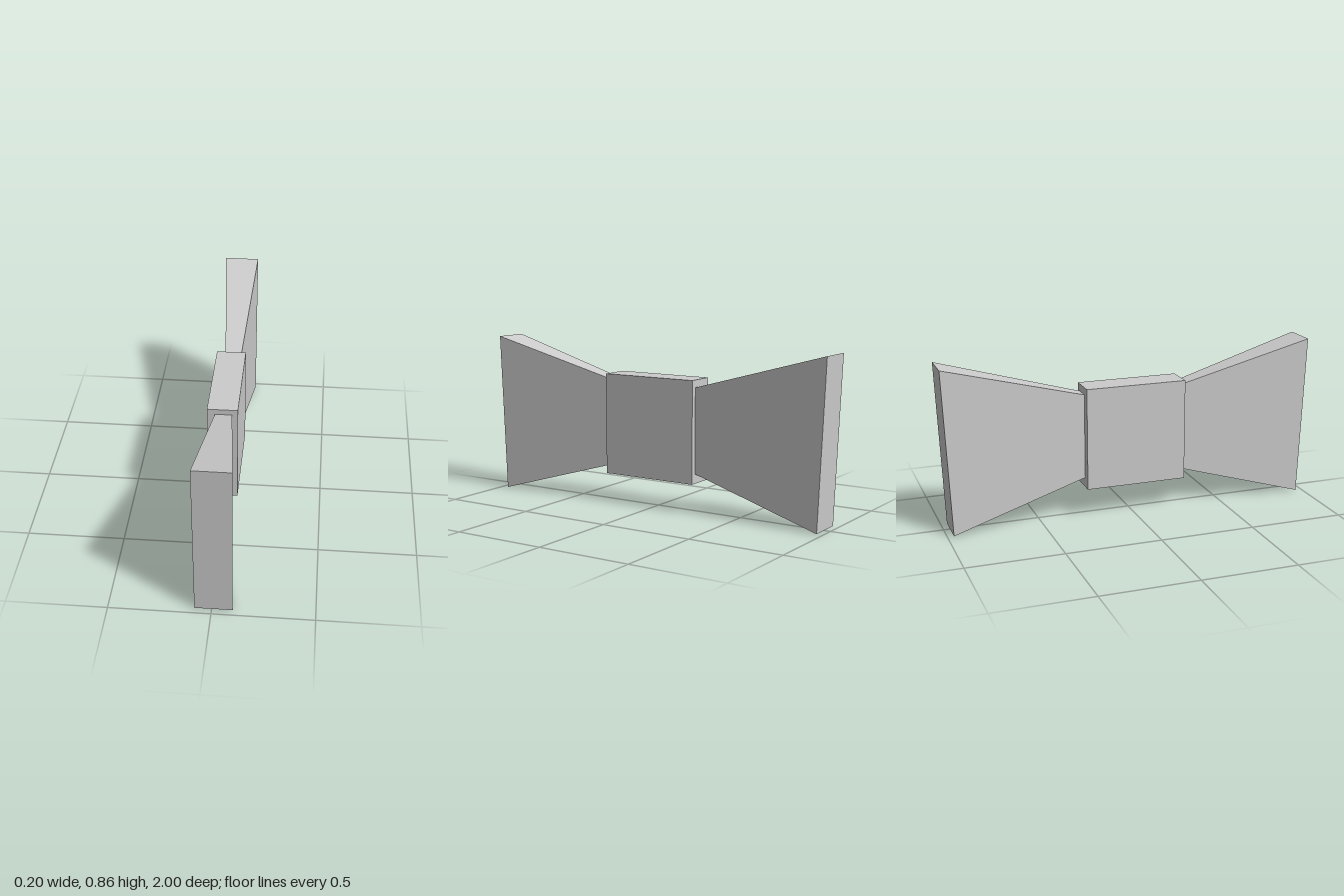
import * as THREE from 'three';

const material = new THREE.MeshStandardMaterial({ color: 0xcccccc, flatShading: true });

// Tapered wing: a box whose corners are moved to a small inner end and a flared outer end
function makeWing(name) {
  const inner = { left: 0.034, right: -0.039, top: 0.641, bottom: 0.22, zTop: 0.2, zBottom: 0.2 };
  const outer = { left: 0.102, right: -0.084, top: 0.862, bottom: 0, zTop: 1, zBottom: 0.966 };
  const geometry = new THREE.BoxGeometry(1, 1, 1);
  const p = geometry.attributes.position;
  for (let i = 0; i < p.count; i++) {
    const end = p.getZ(i) > 0 ? outer : inner;
    const up = p.getY(i) > 0;
    p.setXYZ(i,
      p.getX(i) > 0 ? end.left : end.right,
      up ? end.top : end.bottom,
      up ? end.zTop : end.zBottom);
  }
  geometry.computeVertexNormals();
  const wing = new THREE.Mesh(geometry, material);
  wing.name = name;
  return wing;
}

export function createModel() {
  const group = new THREE.Group();
  group.name = 'bowTie';

  // Central knot
  const knot = new THREE.Mesh(new THREE.BoxGeometry(0.154, 0.54, 0.54), material);
  knot.name = 'knot';
  knot.position.set(-0.007, 0.424, 0.019);
  group.add(knot);

  // Two wings, the back one turned half a circle
  const frontWing = makeWing('frontWing');
  const backWing = makeWing('backWing');
  backWing.rotation.y = Math.PI;
  group.add(frontWing, backWing);

  return group;
}
